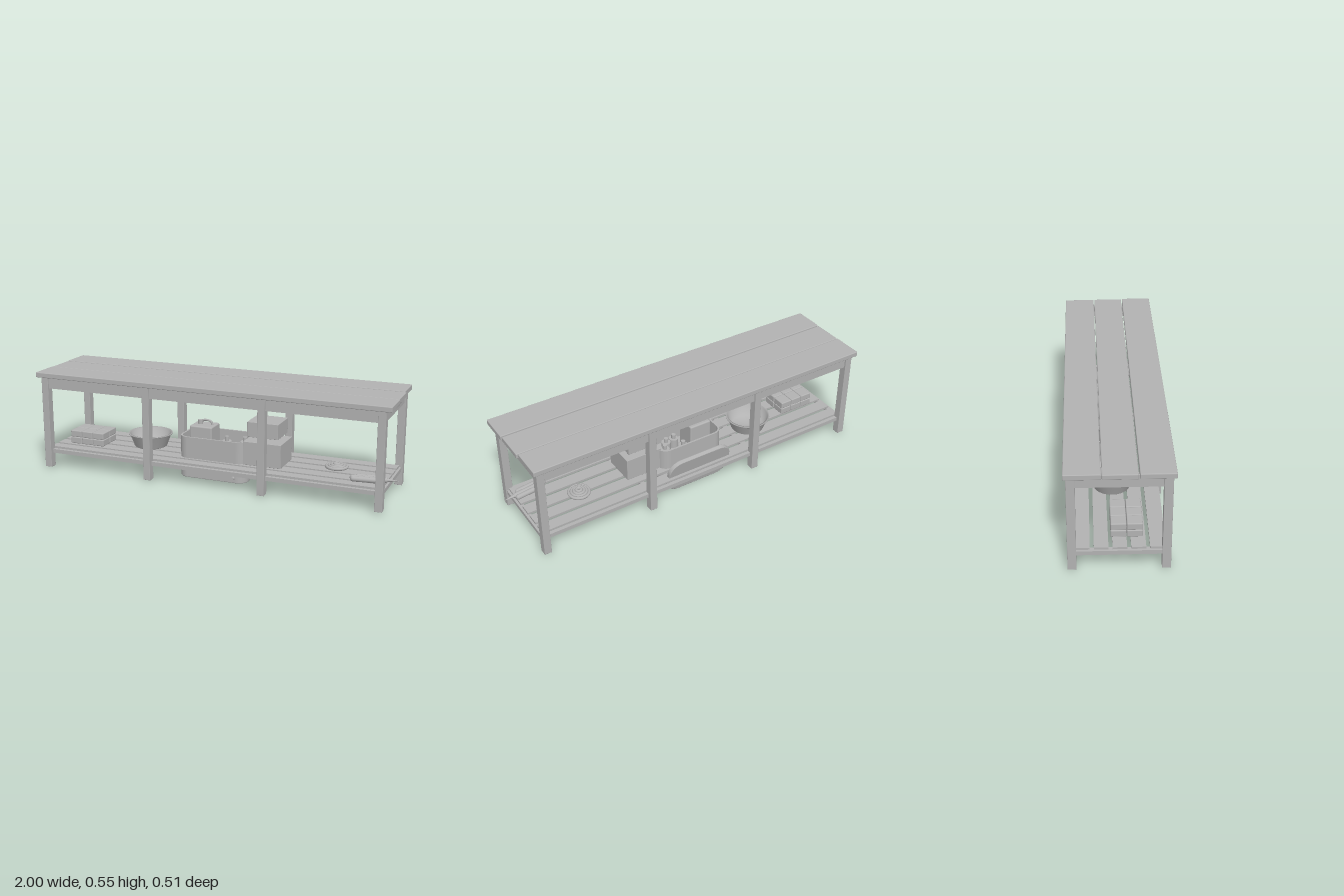
import * as THREE from 'three';
import { RoundedBoxGeometry } from 'three/addons/geometries/RoundedBoxGeometry.js';

export function createModel() {
  const group = new THREE.Group();
  const grey = new THREE.MeshStandardMaterial({ color: 0xb2b2b2, side: THREE.DoubleSide });
  grey.name = 'plain grey';

  const add = (name, geo, x = 0, y = 0, z = 0, parent = group) => {
    const m = new THREE.Mesh(geo, grey);
    m.name = name;
    m.position.set(x, y, z);
    parent.add(m);
    return m;
  };
  // Box given by its limits on each axis, optionally with rounded edges
  const block = (name, x0, x1, y0, y1, z0, z1, r = 0) => {
    const s = [x1 - x0, y1 - y0, z1 - z0];
    const geo = r ? new RoundedBoxGeometry(...s, 2, r) : new THREE.BoxGeometry(...s);
    return add(name, geo, (x0 + x1) / 2, (y0 + y1) / 2, (z0 + z1) / 2);
  };
  const roundRect = (w, h, r, S = THREE.Shape) => {
    const s = new S(), a = w / 2, b = h / 2;
    s.moveTo(-a + r, -b);
    s.lineTo(a - r, -b);
    s.absarc(a - r, -b + r, r, -Math.PI / 2, 0);
    s.lineTo(a, b - r);
    s.absarc(a - r, b - r, r, 0, Math.PI / 2);
    s.lineTo(-a + r, b);
    s.absarc(-a + r, b - r, r, Math.PI / 2, Math.PI);
    s.lineTo(-a, -b + r);
    s.absarc(-a + r, -b + r, r, Math.PI, Math.PI * 1.5);
    return s;
  };
  const extrude = (shape, depth, bevel = 0) => new THREE.ExtrudeGeometry(shape, {
    depth: depth - 2 * bevel, curveSegments: 8, bevelEnabled: bevel > 0,
    bevelSize: bevel, bevelThickness: bevel, bevelOffset: -bevel, bevelSegments: 2,
  }).translate(0, 0, bevel);

  // Table top planks
  block('topPlankFront', -1, 0.98, 0.52, 0.548, 0.089, 0.255, 0.004);
  block('topPlankMiddle', -1, 0.975, 0.519, 0.546, -0.08, 0.083, 0.004);
  block('topPlankBack', -1, 0.967, 0.52, 0.548, -0.254, -0.085, 0.004);

  // Legs with a bearer joining each pair under the shelf
  const legX = [-0.953, -0.338, 0.313, 0.93];
  for (const x of legX) {
    for (const s of [-1, 1]) add('leg', new RoundedBoxGeometry(0.04, 0.513, 0.042, 1, 0.002), x, 0.2635, s * 0.221);
    block('shelfBearer', x - 0.014, x + 0.014, 0.085, 0.107, -0.2, 0.2);
  }
  // Aprons and long shelf rails
  for (const s of [-1, 1]) {
    add('longApron', new THREE.BoxGeometry(1.85, 0.061, 0.024), -0.011, 0.489, s * 0.221);
    add('shelfRail', new THREE.BoxGeometry(1.85, 0.022, 0.02), -0.011, 0.096, s * 0.211);
  }
  for (const x of [legX[0], legX[3]]) block('endApron', x - 0.012, x + 0.012, 0.458, 0.52, -0.2, 0.2);

  // Shelf slats
  for (const [z0, z1] of [[0.144, 0.2], [0.056, 0.126], [-0.031, 0.037], [-0.118, -0.05], [-0.2, -0.137]])
    block('shelfSlat', -0.955, 0.932, 0.107, 0.118, z0, z1);

  // Stack of small blocks
  for (let i = 0; i < 3; i++) for (let j = 0; j < 2; j++) for (let k = 0; k < 2; k++)
    add('stackedBlock', new RoundedBoxGeometry(0.068, 0.037, 0.075, 2, 0.005),
      -0.775 + (i - 1) * 0.07, 0.138 + k * 0.038, 0.038 + (j - 0.5) * 0.077);

  // Wash basin
  const basin = [[0, 0.119], [0.085, 0.119], [0.092, 0.124], [0.115, 0.188], [0.123, 0.191],
    [0.123, 0.196], [0.112, 0.195], [0.088, 0.128], [0, 0.126]].map(p => new THREE.Vector2(...p));
  add('basin', new THREE.LatheGeometry(basin, 40), -0.44, 0, -0.02);

  // Open tub with rounded corners, floor, tap and end grips
  const tub = new THREE.Group();
  tub.name = 'tub';
  tub.position.set(-0.015, 0, 0.002);
  group.add(tub);
  const wall = roundRect(0.39, 0.226, 0.055);
  wall.holes.push(roundRect(0.37, 0.206, 0.046, THREE.Path));
  add('tubWall', extrude(wall, 0.222).rotateX(-Math.PI / 2), 0, 0.014, 0, tub);
  add('tubFloor', extrude(roundRect(0.386, 0.222, 0.053), 0.014, 0.004).rotateX(-Math.PI / 2), 0, 0.008, 0, tub);
  add('tubTap', new THREE.CylinderGeometry(0.009, 0.009, 0.016, 16).rotateX(Math.PI / 2), 0.128, 0.037, 0.118, tub);
  for (const s of [-1, 1]) add('tubGrip', new RoundedBoxGeometry(0.014, 0.02, 0.07, 2, 0.004), s * 0.198, 0.185, 0, tub);

  // Jug standing in the tub, with cap and handle
  block('jugBody', -0.165, -0.035, 0.02, 0.285, -0.055, 0.06, 0.008);
  add('jugCap', new THREE.CylinderGeometry(0.014, 0.014, 0.025, 16), -0.125, 0.295, 0);
  const handle = new THREE.CatmullRomCurve3([[-0.12, 0.283], [-0.11, 0.305], [-0.085, 0.309], [-0.062, 0.302], [-0.055, 0.283]]
    .map(([x, y]) => new THREE.Vector3(x, y, 0)));
  add('jugHandle', new THREE.TubeGeometry(handle, 16, 0.006, 8));

  // Bottles inside the tub
  for (const [x, z, h] of [[0.01, -0.05, 0.19], [0.07, 0.03, 0.18], [0.12, -0.04, 0.2], [0.01, 0.05, 0.17]]) {
    add('bottle', new THREE.CylinderGeometry(0.026, 0.026, h - 0.02, 20), x, h / 2 + 0.01, z);
    add('bottleCap', new THREE.CylinderGeometry(0.012, 0.012, 0.025, 16), x, h + 0.012, z);
  }

  // Tub lid leaning at the back
  const lid = new THREE.Group();
  lid.name = 'leaningLid';
  lid.position.set(-0.01, 0.1055, -0.168);
  lid.rotation.x = -0.22;
  group.add(lid);
  add('lidPanel', extrude(roundRect(0.385, 0.21, 0.075), 0.024, 0.004), 0, 0, -0.012, lid);
  add('lidInnerLip', extrude(roundRect(0.34, 0.168, 0.06), 0.01, 0.002), 0, 0.004, 0.011, lid);

  // Storage boxes
  block('lowerBox', 0.165, 0.375, 0.118, 0.246, -0.077, 0.107, 0.002);
  block('upperBox', 0.183, 0.355, 0.27, 0.352, -0.063, 0.095, 0.002);

  // Coiled rope
  for (const [R, y] of [[0.054, 0.127], [0.04, 0.131], [0.027, 0.136], [0.013, 0.141]])
    add('ropeCoil', new THREE.TorusGeometry(R, 0.0085, 8, 32).rotateX(Math.PI / 2), 0.64, y, -0.03);

  // Bundle of rounded rods with a pointed tip
  const bundle = new THREE.Group();
  bundle.name = 'rodBundle';
  bundle.position.set(0.85, 0.134, 0.123);
  bundle.rotation.y = 0.12;
  group.add(bundle);
  for (const i of [-1, 0, 1])
    add('rod', new THREE.CapsuleGeometry(0.0145, 0.165 - Math.abs(i) * 0.03, 4, 12).rotateZ(Math.PI / 2), -i * 0.01, 0, i * 0.021, bundle);
  add('rodTip', new THREE.ConeGeometry(0.012, 0.075, 12).rotateZ(-Math.PI / 2), 0.113, 0, 0, bundle);

  return group;
}
